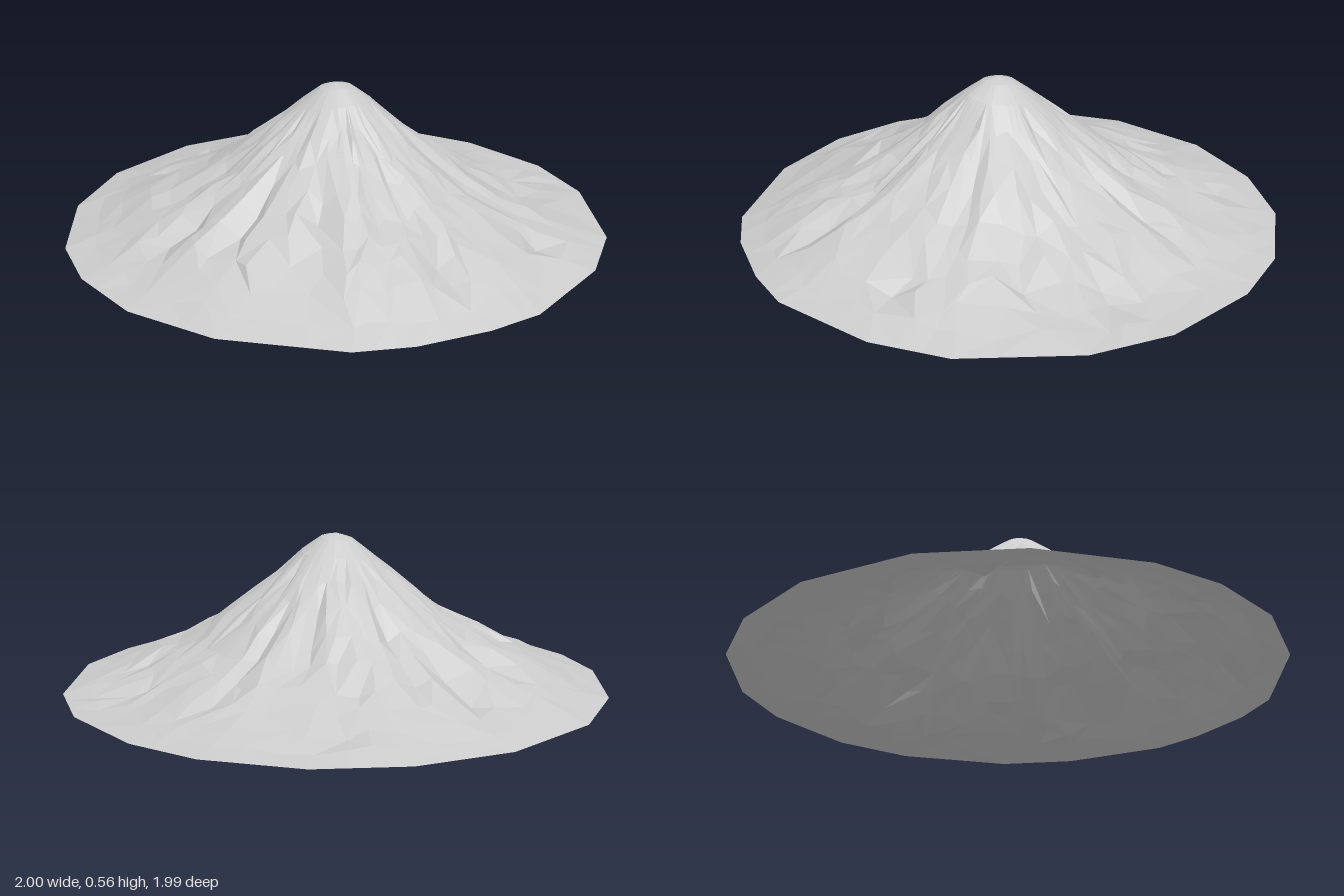
import * as THREE from 'three';

// Base outline of the mountain as [x, z] corners
const RIM = [
  [1, -0.03], [0.96, 0.27], [0.76, 0.65], [0.54, 0.835], [0.17, 0.985], [-0.03, 0.99], [-0.29, 0.95],
  [-0.48, 0.875], [-0.8, 0.58], [-0.96, 0.27], [-1, -0.03], [-0.96, -0.29], [-0.78, -0.63],
  [-0.52, -0.865], [-0.14, -1], [0.21, -0.985], [0.51, -0.87], [0.78, -0.635], [0.92, -0.395],
];
const RINGS = [0.06, 0.13, 0.21, 0.3, 0.4, 0.5, 0.6, 0.7, 0.8, 0.9, 1];
// Slope heights on those rings towards +x, +z, -x and -z
const SLOPES = [
  [0.54, 0.485, 0.41, 0.34, 0.265, 0.19, 0.14, 0.08, 0.035, 0.015, 0],
  [0.545, 0.505, 0.44, 0.37, 0.31, 0.25, 0.2, 0.155, 0.11, 0.05, 0],
  [0.535, 0.48, 0.42, 0.35, 0.28, 0.23, 0.18, 0.135, 0.08, 0.03, 0],
  [0.535, 0.48, 0.415, 0.345, 0.27, 0.21, 0.15, 0.11, 0.07, 0.035, 0],
];
// Eroded gullies: angle in degrees, start radius, end radius, depth
const GULLIES = [
  [3, 0.5, 0.9, 0.03], [24, 0.4, 0.8, 0.04], [45, 0.25, 0.75, 0.04], [58, 0.6, 0.9, 0.04],
  [92, 0.35, 0.92, 0.06], [102, 0.3, 0.65, 0.04], [130, 0.35, 0.85, 0.06], [157, 0.3, 0.75, 0.05],
  [177, 0.4, 0.85, 0.05], [199, 0.35, 0.7, 0.04], [235, 0.4, 0.8, 0.04], [258, 0.35, 0.9, 0.05],
  [270, 0.25, 0.65, 0.04], [293, 0.45, 0.9, 0.04], [307, 0.2, 0.6, 0.05], [330, 0.3, 0.75, 0.04],
];
const PEAK = [-0.02, 0.555, 0.03];
const SPLIT = 3; // columns per base edge

function seeded(seed) {
  return () => (seed = (seed * 16807) % 2147483647) / 2147483647;
}

// Depth removed by the gullies at an angle and radius
function gullyDepth(angle, r) {
  let depth = 0;
  for (const [deg, r0, r1, d] of GULLIES) {
    let diff = Math.abs((angle * 180) / Math.PI - deg) % 360;
    if (diff > 180) diff = 360 - diff;
    const along = (r - r0) / (r1 - r0);
    if (diff < 7 && along > 0 && along < 1) {
      depth = Math.max(depth, d * (1 - diff / 7) * Math.sin(Math.PI * along));
    }
  }
  return depth;
}

function slopeHeight(angle, ring) {
  const q = ((angle / (Math.PI / 2)) % 4 + 4) % 4;
  const i = Math.floor(q);
  return THREE.MathUtils.lerp(SLOPES[i][ring], SLOPES[(i + 1) % 4][ring], q - i);
}

export function createModel() {
  const random = seeded(4711);
  const columns = RIM.length * SPLIT;
  const positions = [...PEAK];
  const indices = [];

  // Rings of points from the summit down to the base outline
  RINGS.forEach((ring, k) => {
    const isRim = k === RINGS.length - 1;
    for (let c = 0; c < columns; c++) {
      const t = c + (isRim ? 0 : (random() - 0.5) * 0.6) + columns;
      const edge = Math.floor(t / SPLIT);
      const f = t / SPLIT - edge;
      const a = RIM[edge % RIM.length], b = RIM[(edge + 1) % RIM.length];
      const r = ring + (isRim || k < 2 ? 0 : (random() - 0.5) * 0.05);
      const x = THREE.MathUtils.lerp(a[0], b[0], f) * r + PEAK[0] * (1 - r);
      const z = THREE.MathUtils.lerp(a[1], b[1], f) * r + PEAK[2] * (1 - r);
      const angle = Math.atan2(z - PEAK[2], x - PEAK[0]);
      const rough = isRim || k < 2 ? 0 : random() * 0.022 * Math.sin(Math.PI * ring);
      const y = slopeHeight(angle, k) - (r - ring) * 0.5 - gullyDepth(angle, r) - rough;
      positions.push(x, isRim ? 0 : Math.max(y, 0.006), z);
    }
  });

  // Summit fan, then bands with alternating diagonals
  const at = (k, c) => 1 + k * columns + (c % columns);
  for (let c = 0; c < columns; c++) indices.push(0, at(0, c + 1), at(0, c));
  for (let k = 0; k < RINGS.length - 1; k++) {
    for (let c = 0; c < columns; c++) {
      const a = at(k, c), b = at(k, c + 1), d = at(k + 1, c), e = at(k + 1, c + 1);
      if (random() < 0.5) indices.push(a, b, d, b, e, d);
      else indices.push(a, b, e, a, e, d);
    }
  }

  const geometry = new THREE.BufferGeometry();
  geometry.setAttribute('position', new THREE.Float32BufferAttribute(positions, 3));
  geometry.setIndex(indices);
  geometry.computeVertexNormals();

  // Open shell, also seen from below
  const material = new THREE.MeshStandardMaterial({
    color: 0xcccccc, flatShading: true, side: THREE.DoubleSide,
  });
  const mountain = new THREE.Mesh(geometry, material);
  mountain.name = 'mountainSlopes';
  const group = new THREE.Group();
  group.name = 'mountain';
  group.add(mountain);
  return group;
}
